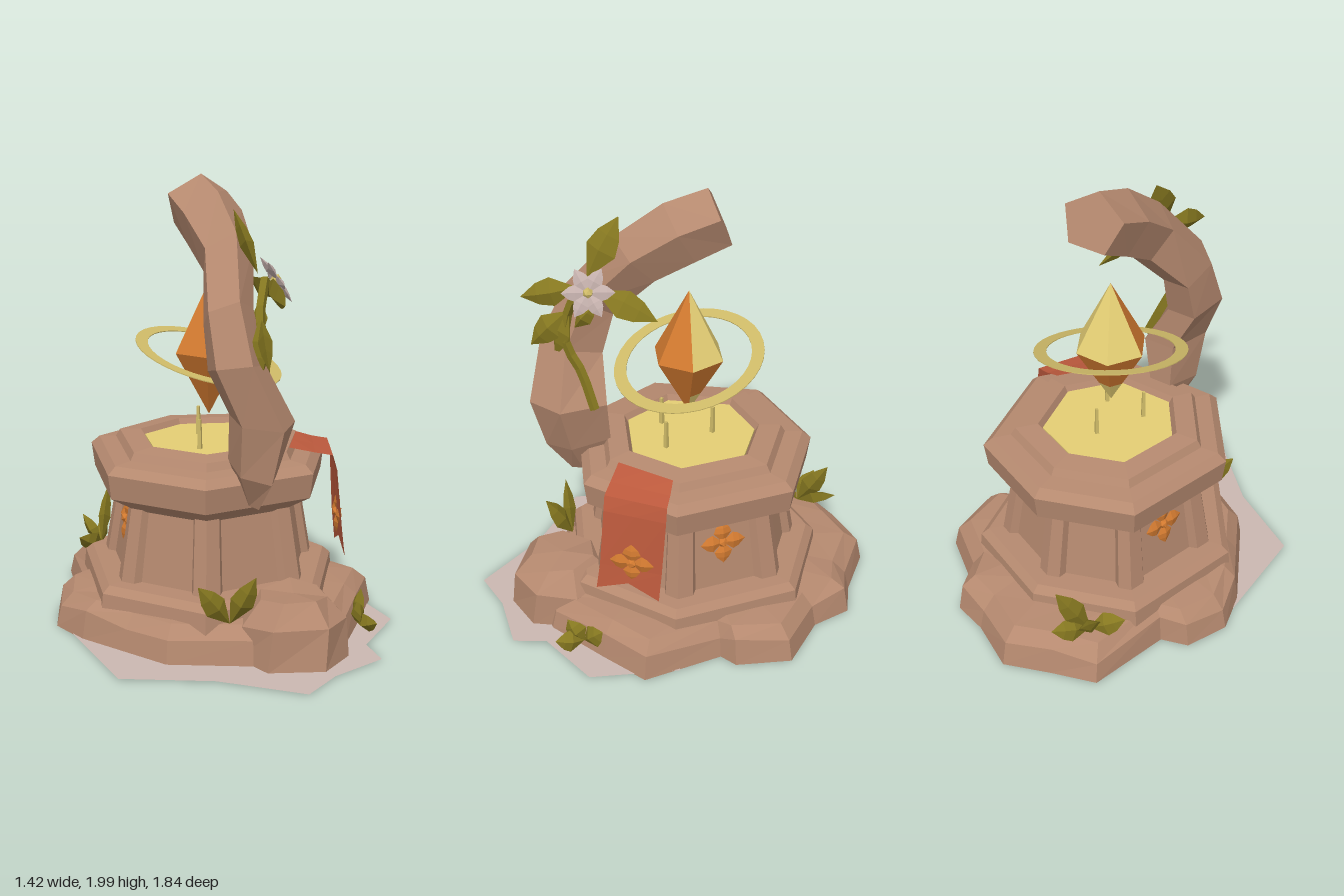
import * as THREE from 'three';

const mat = (name, color, side = THREE.FrontSide) => {
  const m = new THREE.MeshStandardMaterial({ color, side });
  m.name = name;
  return m;
};
const V = (x, y, z) => new THREE.Vector3(x, y, z);
const CZ = -0.06; // z of the pedestal axis
const TAU = Math.PI * 2;

export function createModel() {
  const root = new THREE.Group();
  root.name = 'crystalShrine';
  const stone = mat('stone', 0xb5896f);
  const gold = mat('paleGold', 0xcfbb68);
  const glow = mat('brightGold', 0xe4ce74);
  const orange = mat('amber', 0xd27a30);
  const green = mat('leafGreen', 0x867820);
  const cloth = mat('redCloth', 0xbd5a3d, THREE.DoubleSide);
  const petal = mat('palePetal', 0xc2aeaa);
  const dust = mat('dust', 0xcbb7b1, THREE.DoubleSide);

  const add = (name, geo, material, parent = root) => {
    const g = geo.index ? geo.toNonIndexed() : geo;
    g.computeVertexNormals(); // faceted look
    const m = new THREE.Mesh(g, material);
    m.name = name;
    parent.add(m);
    return m;
  };
  const fromTris = (pts) => new THREE.BufferGeometry().setFromPoints(pts);

  // Skin over rings of points, closed by a fan at each end
  const loft = (rings) => {
    const out = [];
    const n = rings[0].length;
    const mid = (r) => r.reduce((s, p) => s.add(p), V(0, 0, 0)).divideScalar(n);
    const first = rings[0], last = rings[rings.length - 1];
    const c0 = mid(first), c1 = mid(last);
    for (let i = 0; i < n; i++) {
      const j = (i + 1) % n;
      out.push(c0, first[j], first[i], c1, last[i], last[j]);
      for (let k = 0; k + 1 < rings.length; k++) {
        const a = rings[k], b = rings[k + 1];
        out.push(a[i], a[j], b[j], a[i], b[j], b[i]);
      }
    }
    return fromTris(out);
  };
  // Slightly uneven seven-sided plan, from the back round by the right-hand side
  const plan = [[0, -1.01], [-0.73, -0.73], [-0.96, 0.2], [-0.46, 0.87], [0.46, 0.87], [0.96, 0.2], [0.73, -0.73]];
  const seven = (r, y) => plan.map(([x, z]) => V(x * r, y, CZ + z * r));
  const stack = (profile) => loft(profile.map(([r, y]) => seven(r, y)));

  // Dust patch on the ground
  const patch = [[-0.68, -0.05], [-0.67, 0.45], [-0.32, 0.65], [-0.04, 0.92], [0.14, 0.83], [0.4, 0.78],
    [0.42, 0.63], [0.67, 0.45], [0.67, 0.05]].map(([x, z]) => V(x, 0.004, z));
  const patchTris = [];
  patch.forEach((p, i) => patchTris.push(V(0, 0.004, 0), p, patch[(i + 1) % patch.length]));
  add('dustPatch', fromTris(patchTris), dust);

  // Rough rock base
  const outline = [[-0.12, 0.6], [0.08, 0.66], [0.33, 0.6], [0.55, 0.38], [0.71, 0.21], [0.6, -0.14], [0.66, -0.2],
    [0.66, -0.45], [0.44, -0.6], [0.36, -0.77], [0.2, -0.81], [-0.02, -0.92], [-0.22, -0.84], [-0.42, -0.77],
    [-0.51, -0.4], [-0.63, -0.36], [-0.71, -0.17], [-0.66, 0.02], [-0.55, 0.22], [-0.44, 0.42]];
  const baseRing = (s, y, wob) => outline.map(([x, z], i) =>
    V(x * s, y + wob * Math.sin(i * 2.3), CZ + (z - CZ) * s));
  add('rockBase', loft([baseRing(1, 0, 0), baseRing(0.97, 0.11, 0.02), baseRing(0.89, 0.162, 0.008),
    baseRing(0.7, 0.175, 0)]), stone);

  // Boulder at the front
  add('boulder', loft([[0.25, 0], [0.235, 0.17], [0.15, 0.265]].map(([r, y], k) =>
    Array.from({ length: 7 }, (_, i) => {
      const a = 0.1 + (i * TAU) / 7 + 0.12 * Math.sin(i * 5 + k);
      return V(0.1 + Math.sin(a) * r, y && y + 0.015 * Math.sin(i * 2.1 + k), 0.53 + Math.cos(a) * r);
    }))), stone);

  // Seven-sided pedestal: step, panelled body, cap
  add('step', stack([[0.61, 0.12], [0.6, 0.215], [0.565, 0.245], [0.4, 0.25]]), stone);
  const bodyRing = (r, y) => {
    const c = seven(r, y), axis = V(0, y, CZ), out = [];
    c.forEach((p, k) => {
      const q = c[(k + 1) % 7];
      const at = (t, s) => p.clone().lerp(q, t).sub(axis).multiplyScalar(s).add(axis);
      out.push(at(0, 1), at(0.15, 1), at(0.18, 0.93), at(0.82, 0.93), at(0.85, 1));
    });
    return out.reverse();
  };
  const flip = (rings) => loft(rings.map((r) => r.slice().reverse()));
  add('panelledBody', flip([bodyRing(0.5, 0.24), bodyRing(0.435, 0.6)]), stone);
  add('cap', stack([[0.42, 0.56], [0.45, 0.58], [0.545, 0.635], [0.56, 0.745], [0.52, 0.78], [0.44, 0.788],
    [0.42, 0.822], [0.32, 0.832], [0.3, 0.795]]), stone);
  add('dish', stack([[0.3, 0.79], [0.3, 0.808]]), glow);
  [[-0.1, 0.05], [0.1, 0.05], [0, -0.17]].forEach(([x, z]) =>
    add('dishPeg', new THREE.CylinderGeometry(0.009, 0.013, 0.14, 4).translate(x, 0.87, z), gold));

  // Curved trunk: x, y, z, depth radius, side radius
  const path = [[-0.03, 0.65, 0.4, 0.07, 0.02], [-0.03, 0.8, 0.42, 0.16, 0.085], [-0.01, 1.02, 0.455, 0.185, 0.12],
    [-0.12, 1.25, 0.43, 0.15, 0.11], [-0.12, 1.46, 0.35, 0.13, 0.1], [-0.03, 1.68, 0.165, 0.135, 0.11],
    [-0.01, 1.8, -0.02, 0.145, 0.135], [0, 1.87, -0.185, 0.13, 0.14]];
  const spine = path.map(([x, y, z]) => V(x, y, z));
  add('trunk', loft(path.map(([, , , depth, side], i) => {
    const t = spine[Math.min(i + 1, path.length - 1)].clone().sub(spine[Math.max(i - 1, 0)]).setX(0).normalize();
    const f = V(1, 0, 0).cross(t);
    return Array.from({ length: 5 }, (_, k) => {
      const a = (k * TAU) / 5;
      return spine[i].clone().addScaledVector(f, Math.cos(a) * depth).add(V(Math.sin(a) * side * 1.08, 0, 0));
    });
  })), stone);

  // Floating crystal: pale at the upper back and the lower back tip
  const amberTris = [], paleTris = [];
  const top = V(0, 1.53, CZ), low = V(0, 0.93, CZ);
  for (let k = 0; k < 6; k++) {
    const at = (i) => V(Math.sin(Math.PI / 2 + (i * TAU) / 6) * 0.162, 1.22, CZ + Math.cos(Math.PI / 2 + (i * TAU) / 6) * 0.162);
    const a = at(k), b = at(k + 1);
    const back = k < 3;
    const a2 = a.clone().lerp(low, 0.64), b2 = b.clone().lerp(low, 0.64);
    (back ? paleTris : amberTris).push(a, b, top);
    amberTris.push(a2, b2, b, a2, b, a);
    (back ? paleTris : amberTris).push(low, b2, a2);
  }
  add('crystal', fromTris(amberTris), orange);
  add('crystalGlow', fromTris(paleTris), glow);
  const ringProfile = [[0.28, -0.002], [0.335, -0.002], [0.335, 0.002], [0.28, 0.002], [0.28, -0.002]];
  const ring = add('crystalRing', new THREE.LatheGeometry(ringProfile.map((p) => new THREE.Vector2(...p)), 36), gold);
  ring.position.set(0, 1.195, CZ);
  ring.quaternion.setFromUnitVectors(V(0, 1, 0), V(0.18, 1, 0.23).normalize());

  // Folded leaf or petal of unit size along y, flattened in z
  const blade = (len, w, thick) => new THREE.LatheGeometry([[0, 0], [0.35, 0.15], [1, 0.45], [0.75, 0.7], [0, 1]]
    .map((p) => new THREE.Vector2(...p)), 4).scale(w, len, thick);
  const leaf = (from, to, face, w = 0.062) => {
    const a = V(...from), d = V(...to).sub(a);
    const y = d.clone().normalize();
    const z = V(...face).addScaledVector(y, -V(...face).dot(y)).normalize();
    const m = add('leaf', blade(d.length(), w, 0.03), green);
    m.quaternion.setFromRotationMatrix(new THREE.Matrix4().makeBasis(y.clone().cross(z), y, z));
    m.position.copy(a);
  };
  const flower = (name, n, r, w, petalMat, heartMat, parent) => {
    const g = new THREE.Group();
    g.name = name;
    parent.add(g);
    for (let k = 0; k < n; k++) add('petal', blade(r, w, 0.014), petalMat, g).rotation.z = (k * TAU) / n;
    add('flowerHeart', new THREE.IcosahedronGeometry(0.024, 0), heartMat, g);
    return g;
  };

  // Leaves, vine and blossom on the trunk
  const side = [1, 0.2, 0.55];
  leaf([0.01, 1.62, 0.37], [-0.03, 1.87, 0.23], side, 0.07);
  leaf([0.07, 1.59, 0.34], [0.17, 1.48, 0.09], [0.7, 0.7, 0], 0.065);
  leaf([0.04, 1.59, 0.41], [-0.02, 1.53, 0.65], side);
  leaf([-0.02, 1.45, 0.46], [-0.07, 1.27, 0.62], side);
  leaf([-0.02, 1.47, 0.45], [-0.05, 1.22, 0.52], [0.5, 0, 1]);
  leaf([0, 1.38, 0.43], [0.03, 1.5, 0.34], side, 0.04);
  const vine = new THREE.CatmullRomCurve3([V(0.04, 1.6, 0.38), V(-0.02, 1.46, 0.45), V(-0.01, 1.3, 0.47),
    V(0.03, 1.18, 0.41), V(0.09, 1.02, 0.36)]);
  add('vine', new THREE.TubeGeometry(vine, 10, 0.021, 4), green);
  const blossom = flower('blossom', 6, 0.115, 0.036, petal, gold, root);
  blossom.position.set(0.095, 1.59, 0.37);
  blossom.quaternion.setFromUnitVectors(V(0, 0, 1), V(0.8, 0.52, 0.2).normalize());

  // Leaf tufts around the base
  const tufts = [
    [[-0.17, 0.16, 0.48], [-0.3, 0.4, 1], [[-0.11, 0.4, 0.6], [-0.33, 0.36, 0.5]]],
    [[0.47, 0.04, 0.46], [1, 0.5, 0.6], [[0.55, 0.15, 0.38], [0.5, 0.07, 0.59], [0.45, 0.15, 0.53]]],
    [[-0.3, 0.17, -0.65], [-0.5, 0.6, -0.6], [[-0.21, 0.42, -0.77], [-0.22, 0.24, -0.82], [-0.44, 0.24, -0.58], [-0.36, 0.3, -0.74]]],
  ];
  tufts.forEach(([from, face, tips]) => tips.forEach((tip) => leaf(from, tip, face, 0.052)));

  // Amber flowers on the two side panels
  [1, -1].forEach((s) => {
    const holder = new THREE.Group();
    holder.name = 'panelOrnament';
    holder.position.set(0, 0.46, CZ);
    holder.rotation.y = (s * TAU * 2) / 7;
    root.add(holder);
    const f = flower('panelFlower', 4, 0.105, 0.042, orange, orange, holder);
    f.position.set(s * 0.03, 0, 0.38);
    f.rotation.x = -0.15;
  });

  // Banner draped over the cap, with a swallow tail: left z, right z, y, left x, right x
  const banner = new THREE.Group();
  banner.name = 'banner';
  banner.position.z = CZ;
  banner.rotation.y = 1.18;
  root.add(banner);
  const rows = [[0.335, 0.4, 0.828, -0.22, 0.045], [0.45, 0.475, 0.803, -0.22, 0.055], [0.53, 0.548, 0.788, -0.22, 0.062],
    [0.55, 0.562, 0.72, -0.22, 0.062], [0.575, 0.575, 0.45, -0.235, 0.045]]
    .map(([zl, zr, y, a, b]) => [V(a, y, zl), V((a + b) / 2, y, (zl + zr) / 2), V(b, y, zr)]);
  rows.push([V(-0.25, 0.325, 0.588), V(-0.105, 0.375, 0.583), V(0.035, 0.31, 0.588)]);
  const sheet = [];
  for (let i = 0; i + 1 < rows.length; i++) {
    for (let c = 0; c < 2; c++) {
      const [u, l] = [rows[i], rows[i + 1]];
      sheet.push(l[c], l[c + 1], u[c + 1], l[c], u[c + 1], u[c]);
    }
  }
  add('bannerCloth', fromTris(sheet), cloth, banner);
  flower('bannerFlower', 4, 0.1, 0.042, orange, orange, banner).position.set(-0.09, 0.485, 0.575);

  return root;
}
